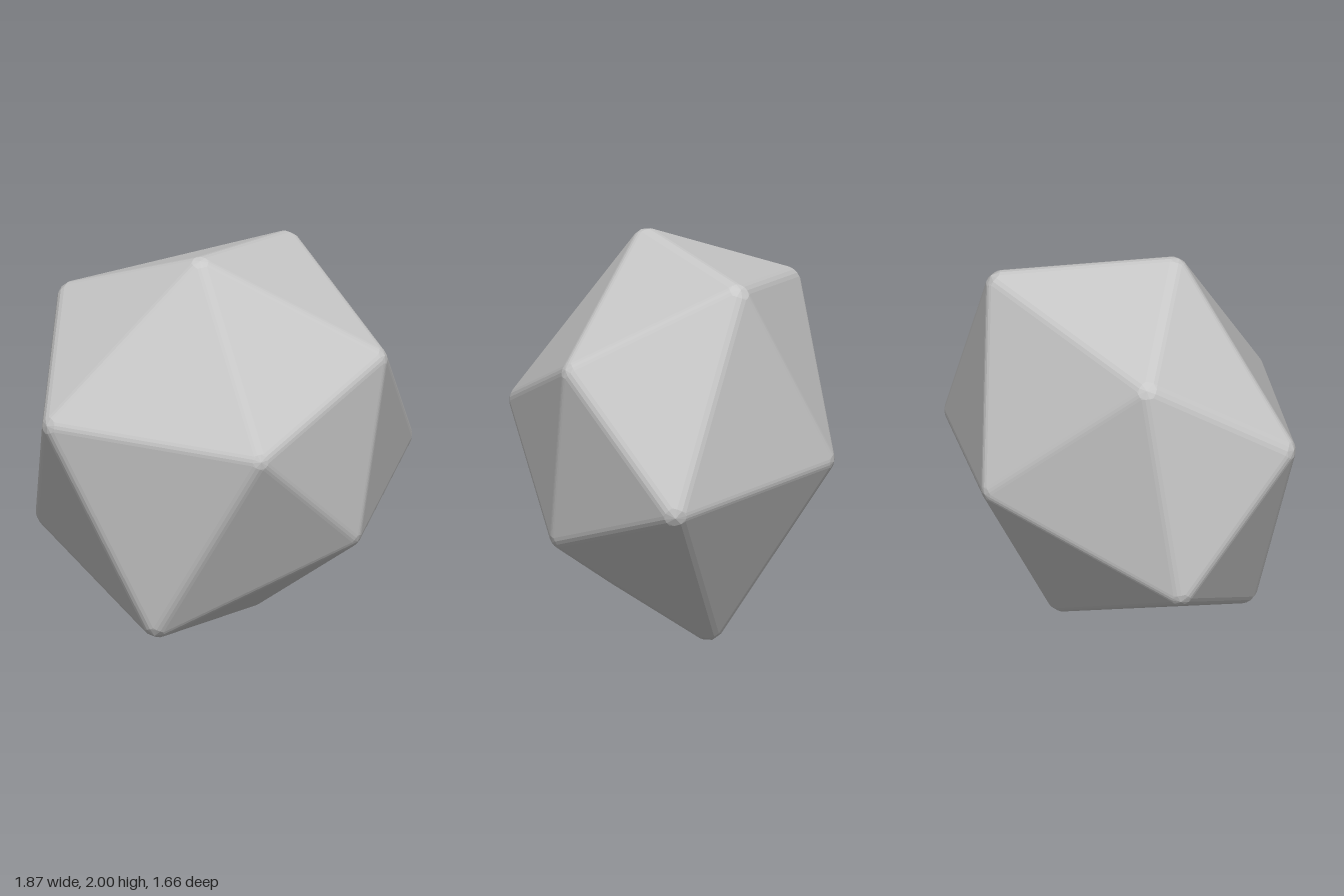
import * as THREE from 'three';
import { ConvexGeometry } from 'three/addons/geometries/ConvexGeometry.js';

const RADIUS = 0.08; // edge rounding
const CENTRE = new THREE.Vector3(0, 1, 0);

// Corner tips of the uneven twenty-sided stone, as opposite pairs
const TIPS = [
  [-0.11, 2.0, 0.24], [0.14, 0.0, -0.3],
  [0.32, 1.87, -0.58], [-0.33, 0.11, 0.55],
  [0.82, 1.47, 0.12], [-0.925, 0.52, -0.06],
  [0.92, 0.81, -0.57], [-0.87, 1.22, 0.55],
  [0.69, 0.53, 0.28], [-0.81, 1.7, -0.2],
  [0.22, 1.13, 0.83], [-0.17, 0.92, -0.83],
];

// Rounds a convex solid: pushes its faces out and arcs its edges and corners
function roundedHull(corners, r) {
  const pos = new ConvexGeometry(corners).attributes.position;
  const faces = [];
  for (let i = 0; i < pos.count; i += 3) {
    const tri = [0, 1, 2].map((k) => new THREE.Vector3().fromBufferAttribute(pos, i + k));
    const normal = new THREE.Triangle(...tri).getNormal(new THREE.Vector3());
    faces.push({ tri, normal });
  }
  const points = [];
  const add = (c, dir) => points.push(c.clone().addScaledVector(dir.clone().normalize(), r));
  const has = (f, p) => f.tri.some((q) => q.distanceTo(p) < 1e-5);
  for (const c of corners) {
    const around = faces.filter((f) => has(f, c));
    const sum = new THREE.Vector3();
    around.forEach((f, i) => {
      add(c, f.normal);
      sum.add(f.normal);
      for (const g of around.slice(i + 1)) {
        // faces sharing an edge share two corners
        if (f.tri.filter((p) => has(g, p)).length !== 2) continue;
        for (const t of [1 / 3, 2 / 3]) add(c, f.normal.clone().lerp(g.normal, t));
      }
    });
    add(c, sum);
  }
  return new ConvexGeometry(points);
}

export function createModel() {
  const group = new THREE.Group();
  group.name = 'stone';
  const grey = new THREE.MeshStandardMaterial({ color: 0xc8c8c8 });
  grey.name = 'light stone grey';

  // Sphere centres sit one radius inside each tip
  const corners = TIPS.map((p) => {
    const v = new THREE.Vector3(...p);
    return v.addScaledVector(v.clone().sub(CENTRE).normalize(), -RADIUS);
  });

  const body = new THREE.Mesh(roundedHull(corners, RADIUS), grey);
  body.name = 'facetedBody';
  group.add(body);
  return group;
}
